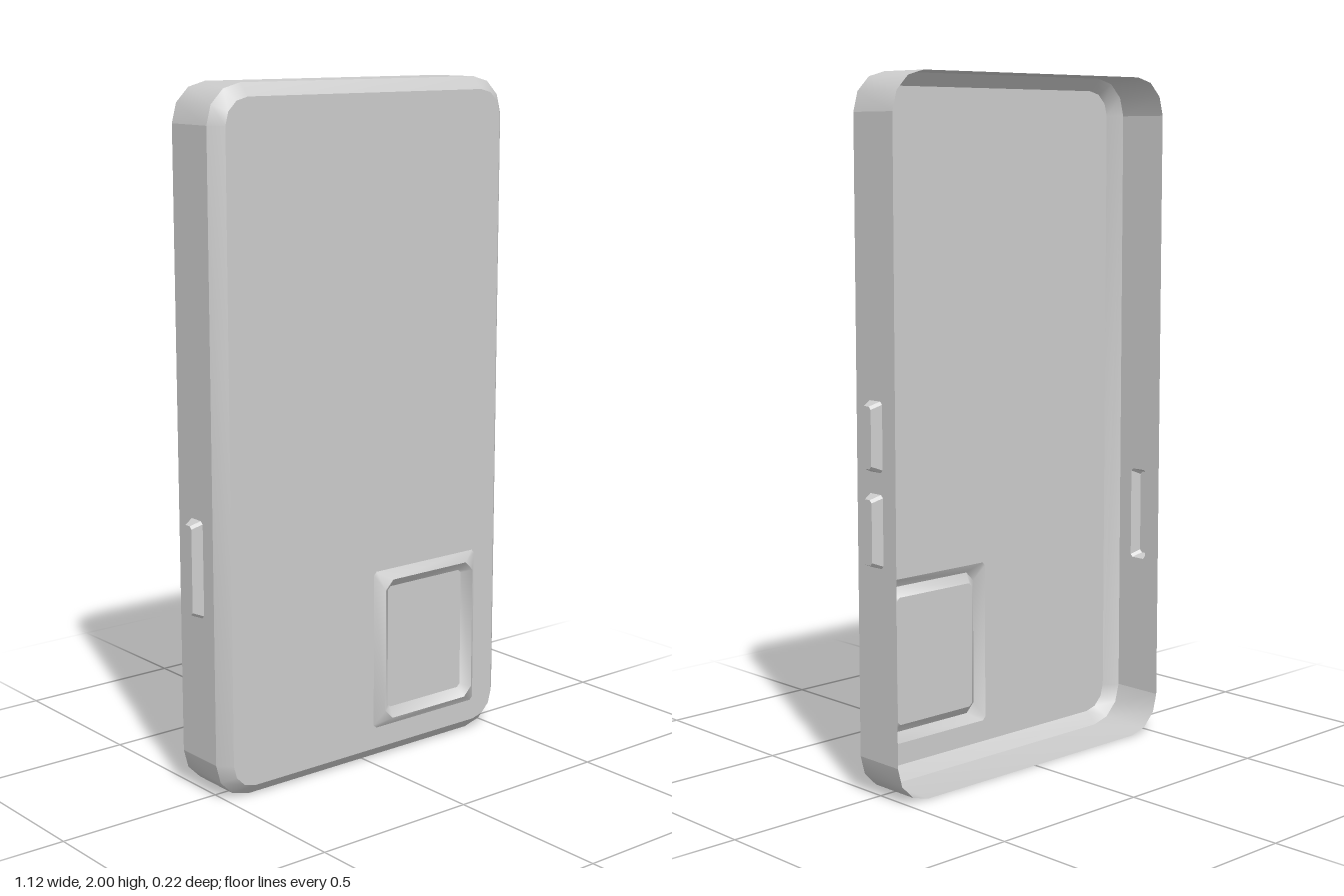
import * as THREE from 'three';
import { toCreasedNormals } from 'three/addons/utils/BufferGeometryUtils.js';

const material = new THREE.MeshStandardMaterial({ color: 0xcccccc, side: THREE.DoubleSide });

// Counter-clockwise outline of a rectangle with rounded (or, with seg 1, chamfered) corners
function outline([x0, x1, y0, y1], r, seg = 1) {
  const pts = [];
  const centres = [[x1 - r, y1 - r], [x0 + r, y1 - r], [x0 + r, y0 + r], [x1 - r, y0 + r]];
  centres.forEach(([cx, cy], q) => {
    for (let i = 0; i <= seg; i++) {
      const a = (q + i / seg) * Math.PI / 2;
      pts.push(new THREE.Vector2(cx + r * Math.cos(a), cy + r * Math.sin(a)));
    }
  });
  return pts;
}

const inset = ([x0, x1, y0, y1], d) => [x0 + d, x1 - d, y0 + d, y1 - d];

function mesh(name, geometry) {
  const m = new THREE.Mesh(geometry, material);
  m.name = name;
  return m;
}

// Bands between successive rings [points, z]; skip lists edges left open
function loft(name, rings, skip = []) {
  const pos = [];
  for (let k = 0; k < rings.length - 1; k++) {
    const [a, za] = rings[k], [b, zb] = rings[k + 1];
    for (let i = 0; i < a.length; i++) {
      if (skip.includes(i)) continue;
      const j = (i + 1) % a.length;
      const p = [a[i].x, a[i].y, za], q = [a[j].x, a[j].y, za];
      const r = [b[j].x, b[j].y, zb], s = [b[i].x, b[i].y, zb];
      pos.push(...p, ...q, ...r, ...p, ...r, ...s);
    }
  }
  const g = new THREE.BufferGeometry();
  g.setAttribute('position', new THREE.Float32BufferAttribute(pos, 3));
  return mesh(name, toCreasedNormals(g, 0.6));
}

// Flat sheet with cut-outs
function sheet(name, pts, z, holes = []) {
  const shape = new THREE.Shape(pts);
  for (const h of holes) shape.holes.push(new THREE.Path(h.slice().reverse()));
  const g = new THREE.ShapeGeometry(shape);
  g.translate(0, 0, z);
  return mesh(name, g);
}

const BACK = -0.11, EDGE = 0.05, FACE = 0.085, RIM = 0.108;
const HALF = 0.53, R = 0.11, SEG = 3;

// Side panel with hollow raised button covers; dir is +1 for left, -1 for right
function sidePanel(name, dir, spans) {
  const group = new THREE.Group();
  group.name = name;
  const u = z => -dir * z;
  const range = (a, b) => [Math.min(u(a), u(b)), Math.max(u(a), u(b))];
  const bases = spans.map(([y0, y1]) => [...range(-0.057, 0.003), y0, y1]);
  group.add(sheet(name + 'Wall', outline([...range(BACK, EDGE), R, 2 - R], 0), 0,
    bases.map(b => outline(b, 0.008))));
  for (const b of bases) {
    const top = outline(inset(b, 0.012), 0.008);
    group.add(loft('buttonSides', [[outline(b, 0.008), 0], [top, 0.03]]));
    group.add(sheet('buttonTop', top, 0.03));
  }
  group.rotation.y = dir * Math.PI / 2;
  group.position.x = dir * HALF;
  return group;
}

export function createModel() {
  const model = new THREE.Group();
  model.name = 'phoneCase';

  // Shell: open-backed wall, bevelled edge and front sheet
  const body = [-HALF, HALF, 0, 2];
  const outer = outline(body, R, SEG);
  const inner = outline(inset(body, 0.036), R - 0.036, SEG);
  const n = SEG + 1;
  model.add(loft('wall', [[outer, BACK], [outer, EDGE]], [2 * n - 1, 4 * n - 1]));
  model.add(loft('bevel', [[outer, EDGE], [inner, FACE]]));

  // Camera surround: bevel up to a ridge, then down to the recessed panel
  const bump = [0.018, 0.416, 0.1, 0.582];
  const base = outline(bump, 0.01);
  const ridge = outline(inset(bump, 0.027), 0.028);
  const recess = outline(inset(bump, 0.054), 0.01);
  model.add(sheet('frontSheet', inner, FACE, [base]));
  model.add(loft('cameraSurround', [[base, FACE], [ridge, RIM], [recess, FACE]]));
  model.add(sheet('cameraPanel', recess, FACE));

  // Sides with their buttons
  model.add(sidePanel('leftSide', 1, [[0.925, 1.12], [0.66, 0.865]]));
  model.add(sidePanel('rightSide', -1, [[0.53, 0.81]]));
  return model;
}
